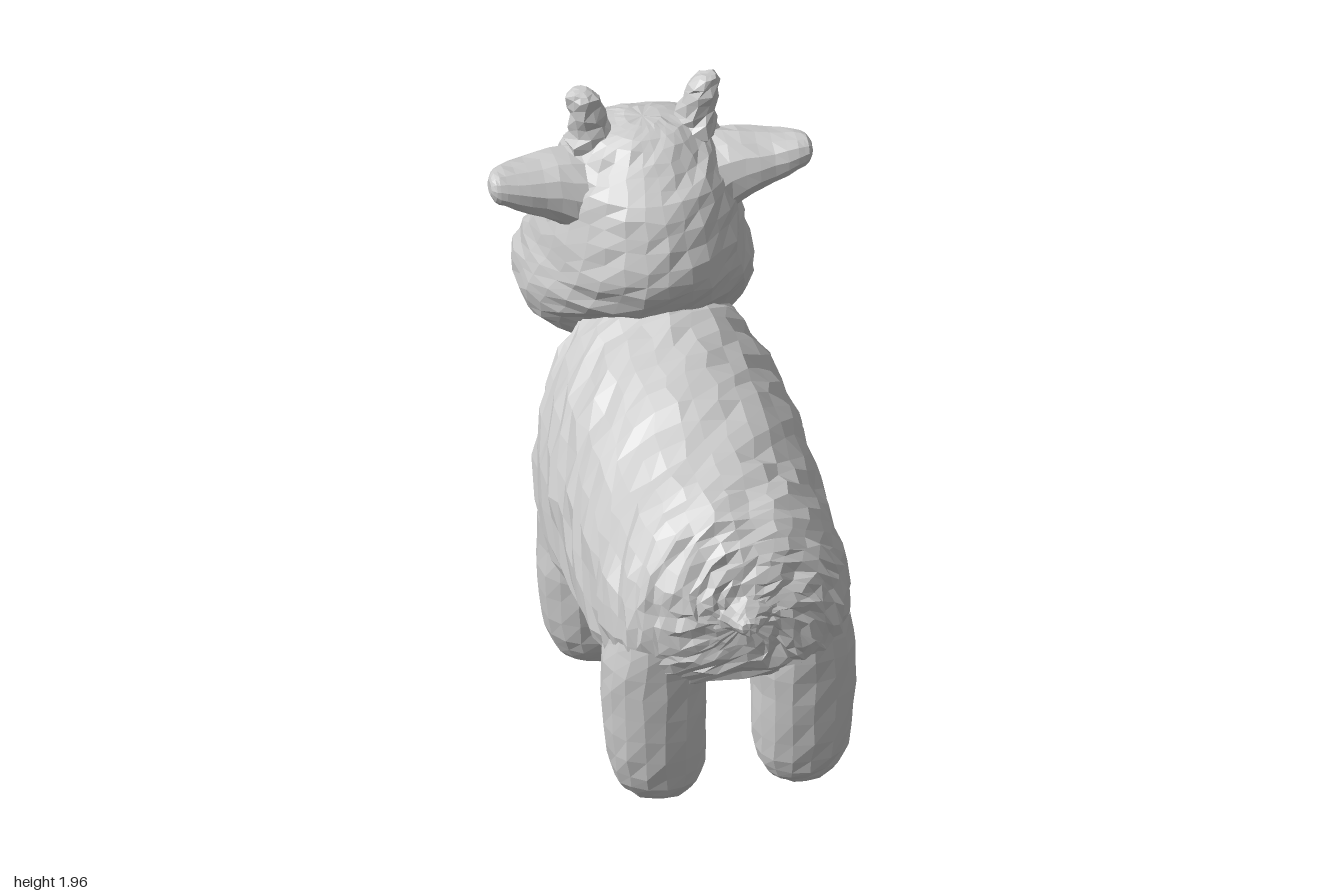
import * as THREE from 'three';

const material = new THREE.MeshStandardMaterial({ color: 0xcccccc, flatShading: true, side: THREE.DoubleSide });

// Seeded noise for the hand-carved, slightly uneven surface
let seed = 7;
function noise() {
  seed = (seed * 16807) % 2147483647;
  return seed / 2147483647 - 0.5;
}

// Maps from section space (across, along the section, along the axis) to the model
const alongZ = (u, v, a) => [u, v, a];
const alongY = (u, v, a) => [u, a, v];
const alongX = (u, v, a) => [a, u, v];

// Smooth loft. Each ring is [axis position, low, high, half width, widest point, centre across].
// expLow and expHigh set how square the two halves of each section are.
// capStart and capEnd close the ends; an end sunk into another part stays open.
function loft(name, rings, map, options) {
  const { steps = 20, sides = 24, expLow = 2, expHigh = 2, rough = 0.012, capStart = true, capEnd = true } = options;
  const spline = (k, t) => {
    const p = t * (rings.length - 1), i = Math.min(Math.floor(p), rings.length - 2), f = p - i;
    const at = n => rings[Math.max(0, Math.min(rings.length - 1, n))][k] ?? 0;
    const [p0, p1, p2, p3] = [at(i - 1), at(i), at(i + 1), at(i + 2)];
    const m1 = (p2 - p0) / 2, m2 = (p3 - p1) / 2;
    return p1 + f * (m1 + f * (3 * (p2 - p1) - 2 * m1 - m2 + f * (2 * (p1 - p2) + m1 + m2)));
  };
  const pos = [], index = [];
  const power = (c, e) => Math.sign(c) * Math.abs(c) ** (2 / e);
  for (let i = 0; i <= steps; i++) {
    const [a, lo, hi, w, mid, cx] = [0, 1, 2, 3, 4, 5].map(k => spline(k, i / steps));
    const r = rough * Math.min(1, w / 0.2);
    for (let j = 0; j < sides; j++) {
      const th = (j / sides) * Math.PI * 2, s = Math.sin(th);
      const e = s > 0 ? expHigh : expLow;
      const u = cx + w * power(Math.cos(th), e);
      const v = mid + (s > 0 ? hi - mid : mid - lo) * power(s, e);
      pos.push(...map(u + noise() * r, v + noise() * r, a + noise() * r));
    }
  }
  for (let i = 0; i < steps; i++) for (let j = 0; j < sides; j++) {
    const k = (j + 1) % sides, a = i * sides + j, b = i * sides + k;
    index.push(a, b, b + sides, a, b + sides, a + sides);
  }
  const c = pos.length / 3, e = steps * sides;
  for (const r of [rings[0], rings[rings.length - 1]]) pos.push(...map(r[5] ?? 0, (r[1] + r[2]) / 2, r[0]));
  for (let j = 0; j < sides; j++) {
    const k = (j + 1) % sides;
    if (capStart) index.push(c, k, j);
    if (capEnd) index.push(c + 1, e + j, e + k);
  }
  const g = new THREE.BufferGeometry();
  g.setAttribute('position', new THREE.Float32BufferAttribute(pos, 3));
  g.setIndex(index);
  g.computeVertexNormals();
  const mesh = new THREE.Mesh(g, material);
  mesh.name = name;
  return mesh;
}

export function createModel() {
  seed = 7;
  const model = new THREE.Group();
  model.name = 'calf';

  // Body from chest to rump: z, bottom, top, half width, widest height
  model.add(loft('body', [
    [-0.51, 0.93, 1.15, 0.16, 1.05],
    [-0.475, 0.76, 1.22, 0.27, 0.96],
    [-0.41, 0.58, 1.27, 0.345, 0.85],
    [-0.32, 0.44, 1.275, 0.41, 0.74],
    [-0.18, 0.38, 1.26, 0.44, 0.68],
    [0, 0.37, 1.23, 0.445, 0.66],
    [0.2, 0.38, 1.2, 0.435, 0.66],
    [0.4, 0.39, 1.13, 0.43, 0.65],
    [0.6, 0.42, 1.115, 0.42, 0.65],
    [0.73, 0.45, 1.08, 0.395, 0.65],
    [0.81, 0.48, 1.02, 0.355, 0.66],
    [0.865, 0.53, 0.95, 0.29, 0.69],
    [0.905, 0.6, 0.88, 0.2, 0.73],
    [0.92, 0.68, 0.82, 0.1, 0.76],
  ], alongZ, { steps: 36, sides: 36, expLow: 3.2, rough: 0.026 }));

  // Legs from hip to hoof: y, front, back, half width, middle, centre x
  const leg = (x, z) => [
    [0.64, z - 0.17, z + 0.185, 0.155, z, x * 0.97],
    [0.5, z - 0.185, z + 0.18, 0.172, z, x],
    [0.3, z - 0.175, z + 0.17, 0.17, z, x],
    [0.12, z - 0.165, z + 0.15, 0.155, z, x * 0.97],
    [0.04, z - 0.125, z + 0.11, 0.115, z, x * 0.95],
    [0.005, z - 0.06, z + 0.06, 0.06, z, x * 0.93],
  ];
  for (const [side, s] of [['left', 1], ['right', -1]]) {
    for (const [end, z, x] of [['Front', -0.18, 0.265], ['Back', 0.685, 0.25]]) {
      model.add(loft(`${side}${end}Leg`, leg(s * x, z), alongY,
        { steps: 12, sides: 16, expLow: 2.2, expHigh: 2.2, capStart: false }));
    }
  }

  // Low belly bulge between the legs
  model.add(loft('udder', [
    [-0.02, 0.34, 0.4, 0.08, 0.39],
    [0.1, 0.28, 0.42, 0.18, 0.4],
    [0.25, 0.24, 0.42, 0.2, 0.4],
    [0.38, 0.28, 0.42, 0.18, 0.4],
    [0.52, 0.34, 0.42, 0.08, 0.4],
  ], alongZ, { steps: 8, sides: 14 }));

  // Head from crown to chin: y, face, nape, half width, widest z
  model.add(loft('head', [
    [1.815, -0.61, -0.49, 0.06, -0.55],
    [1.79, -0.67, -0.41, 0.15, -0.55],
    [1.72, -0.74, -0.325, 0.235, -0.55],
    [1.64, -0.78, -0.24, 0.28, -0.55],
    [1.53, -0.82, -0.185, 0.31, -0.54],
    [1.4, -0.885, -0.15, 0.337, -0.56],
    [1.29, -0.95, -0.18, 0.37, -0.62],
    [1.19, -0.995, -0.27, 0.39, -0.66],
    [1.08, -0.97, -0.38, 0.375, -0.68],
    [1.01, -0.88, -0.46, 0.29, -0.69],
    [0.97, -0.77, -0.6, 0.14, -0.7],
  ], alongY, { steps: 24, sides: 28, expLow: 2.9, expHigh: 2, rough: 0.016 }));

  // Ears from root to tip: x, front, back, half height, middle z, centre y
  const ear = [
    [0.22, -0.65, -0.36, 0.16, -0.52, 1.58],
    [0.31, -0.635, -0.37, 0.12, -0.5, 1.62],
    [0.41, -0.6, -0.375, 0.088, -0.48, 1.645],
    [0.49, -0.54, -0.38, 0.065, -0.46, 1.67],
    [0.525, -0.5, -0.39, 0.05, -0.445, 1.68],
    [0.54, -0.465, -0.41, 0.025, -0.435, 1.685],
  ];
  model.add(loft('leftEar', ear, alongX, { steps: 10, sides: 14, capStart: false }));
  model.add(loft('rightEar', ear.map(r => [-r[0], ...r.slice(1)]).reverse(), alongX,
    { steps: 10, sides: 14, capEnd: false }));

  // Horns from tip to root: knobbly stubs leaning outward
  for (const [name, s] of [['leftHorn', 1], ['rightHorn', -1]]) {
    model.add(loft(name, [
      [1.96, -0.55, -0.51, 0.025, -0.53, s * 0.215],
      [1.93, -0.585, -0.48, 0.052, -0.53, s * 0.205],
      [1.86, -0.595, -0.48, 0.06, -0.535, s * 0.188],
      [1.79, -0.62, -0.47, 0.075, -0.545, s * 0.172],
      [1.73, -0.65, -0.45, 0.1, -0.55, s * 0.16],
    ], alongY, { steps: 8, sides: 10, rough: 0.06, capEnd: false }));
  }

  // Short tail nub
  model.add(loft('tail', [
    [0.875, 0.71, 0.87, 0.18, 0.79],
    [0.92, 0.735, 0.84, 0.1, 0.785],
    [0.96, 0.74, 0.81, 0.05, 0.775],
    [0.99, 0.75, 0.8, 0.025, 0.775],
  ], alongZ, { steps: 7, sides: 12, rough: 0.05, capStart: false }));

  return model;
}
